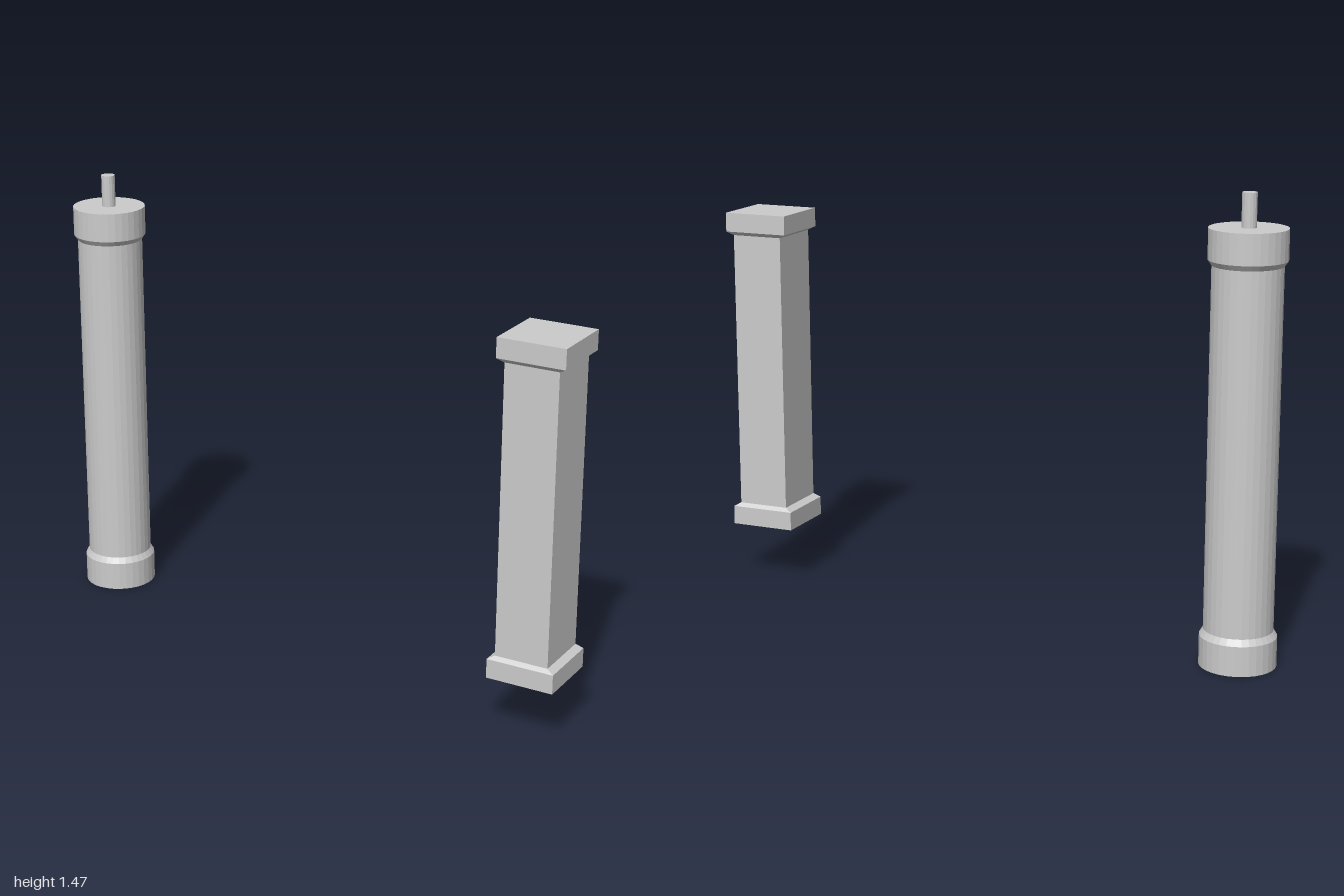
import * as THREE from 'three';

const material = new THREE.MeshStandardMaterial({ color: 0xcccccc, flatShading: true });

function addMesh(parent, name, geometry) {
  const mesh = new THREE.Mesh(geometry, material);
  mesh.name = name;
  parent.add(mesh);
  return mesh;
}

// Solid of revolution from [radius, y] pairs, bottom to top
function turned(points, sides) {
  return new THREE.LatheGeometry(points.map(([r, y]) => new THREE.Vector2(r, y)), sides);
}

// Rectangular column from [halfX, halfZ, y] levels, bottom to top
function squareColumn(levels) {
  const rows = levels.length - 1;
  const geometry = new THREE.BoxGeometry(2, rows, 2, 1, rows, 1);
  const pos = geometry.attributes.position;
  for (let i = 0; i < pos.count; i++) {
    const [hx, hz, y] = levels[Math.round(pos.getY(i) + rows / 2)];
    pos.setXYZ(i, pos.getX(i) * hx, y, pos.getZ(i) * hz);
  }
  geometry.computeVertexNormals();
  return geometry;
}

export function createModel() {
  const model = new THREE.Group();
  model.name = 'columns';

  // Round column with flared collars and a pin on top
  const round = new THREE.Group();
  round.name = 'roundColumn';
  round.position.set(-0.879, 0, -0.135);
  model.add(round);
  addMesh(round, 'roundShaft', turned([
    [0, 0], [0.121, 0], [0.121, 0.096], [0.109, 0.116],
    [0.109, 1.252], [0.121, 1.269], [0.121, 1.365], [0, 1.365],
  ], 32));
  addMesh(round, 'topPin', turned([[0.023, 1.36], [0.023, 1.471], [0, 1.471]], 16));

  // Raised square column with flared base and capital
  const square = addMesh(model, 'squareColumn', squareColumn([
    [0.111, 0.111, 0.185], [0.111, 0.111, 0.248], [0.088, 0.101, 0.261],
    [0.088, 0.101, 1.2], [0.111, 0.111, 1.212], [0.111, 0.111, 1.276],
  ]));
  square.position.set(0.888, 0, 0.145);

  return model;
}
